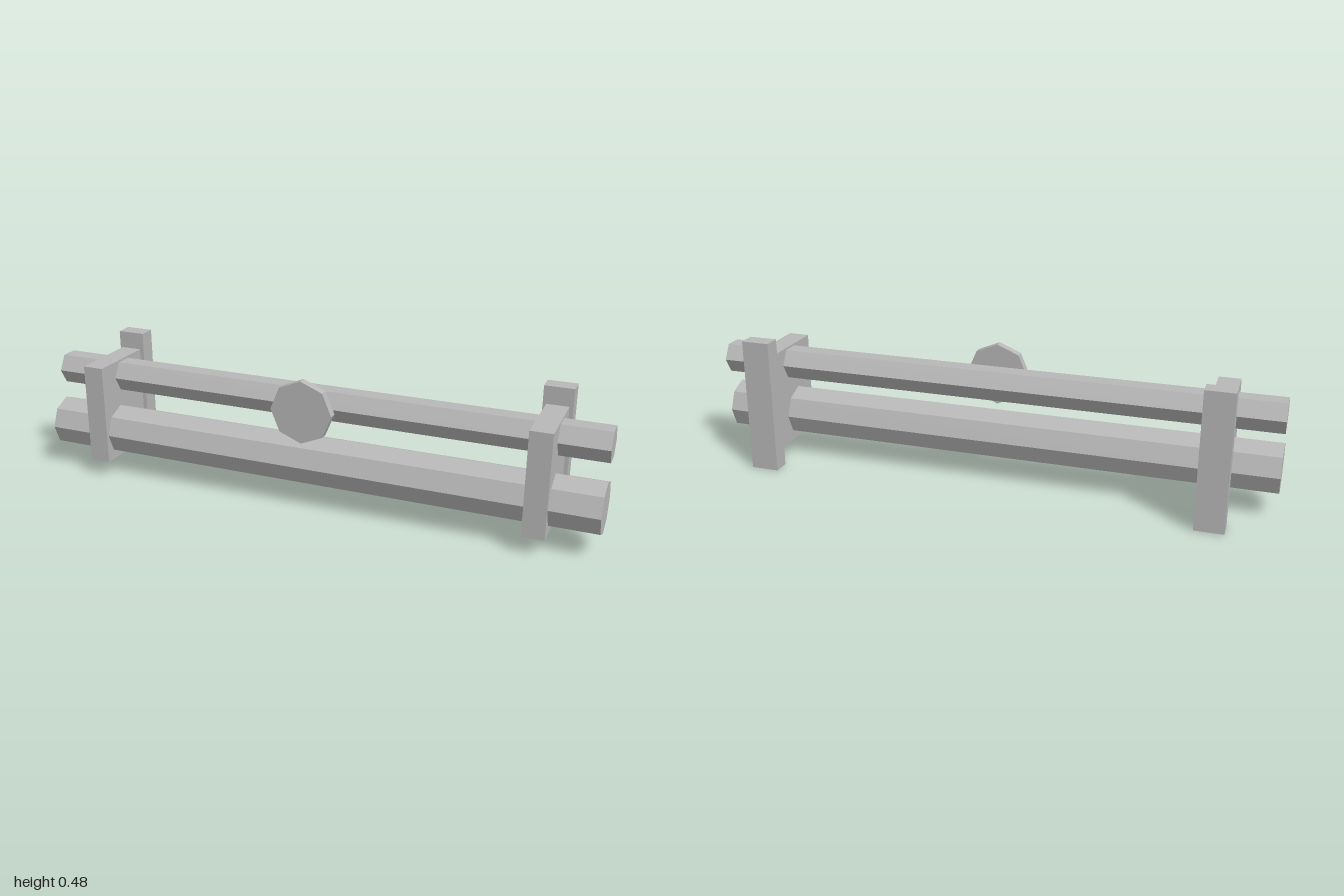
import * as THREE from 'three';

export function createModel() {
  const group = new THREE.Group();
  const grey = new THREE.MeshStandardMaterial({ color: 0xb8b8b8, flatShading: true });
  grey.name = 'pipe grey';

  const add = (name, geometry, x, y, z) => {
    const mesh = new THREE.Mesh(geometry, grey);
    mesh.name = name;
    mesh.position.set(x, y, z);
    group.add(mesh);
  };

  // Pipes running the full width
  const pipe = (radius, sides, turn) =>
    new THREE.CylinderGeometry(radius, radius, 2, sides).rotateY(turn).rotateZ(Math.PI / 2);
  add('mainPipe', pipe(0.09, 8, 0), 0, 0.16, 0.06);
  add('upperPipe', pipe(0.06, 6, 0), 0, 0.36, 0.02);

  // Brackets holding the pipes, each with a post behind
  for (const [side, x] of [['left', 0.8], ['right', -0.8]]) {
    add(side + 'Bracket', new THREE.BoxGeometry(0.075, 0.36, 0.255), x, 0.24, 0.0325);
    add(side + 'Post', new THREE.BoxGeometry(0.1, 0.48, 0.06), x, 0.24, -0.13);
  }

  // Valve wheel facing the front
  const wheel = new THREE.CylinderGeometry(0.11, 0.11, 0.03, 8).rotateX(Math.PI / 2);
  add('valveWheel', wheel, 0, 0.36, 0.13);

  return group;
}
